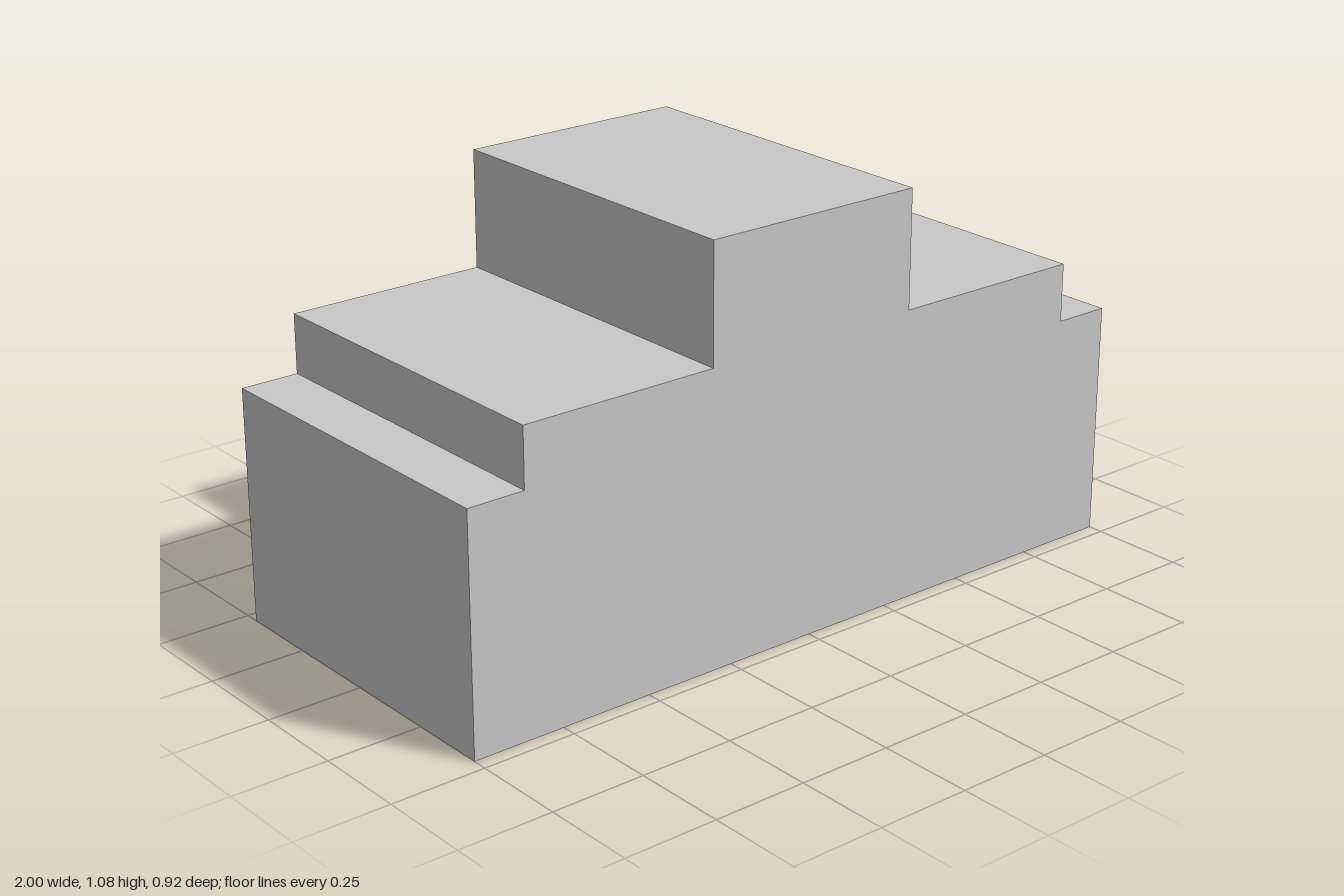
import * as THREE from 'three';

export function createModel() {
  const group = new THREE.Group();
  group.name = 'steppedBlock';

  const grey = new THREE.MeshStandardMaterial({ color: 0xc8c8c8 });
  grey.name = 'light grey';

  // Right half of the stepped outline, from the base up to the top
  const u = 1 / 13;
  const half = [[13, 0], [13, 8], [11, 8], [11, 10], [4, 10], [4, 14]];
  const mirrored = half.map(([x, y]) => [-x, y]).reverse();
  const outline = [...half, ...mirrored].map(([x, y]) => new THREE.Vector2(x * u, y * u));

  // One solid body, extruded front to back and centred on z
  const depth = 12 * u;
  const geometry = new THREE.ExtrudeGeometry(new THREE.Shape(outline), { depth, bevelEnabled: false });
  geometry.translate(0, 0, -depth / 2);

  const body = new THREE.Mesh(geometry, grey);
  body.name = 'steppedBody';
  group.add(body);
  return group;
}
